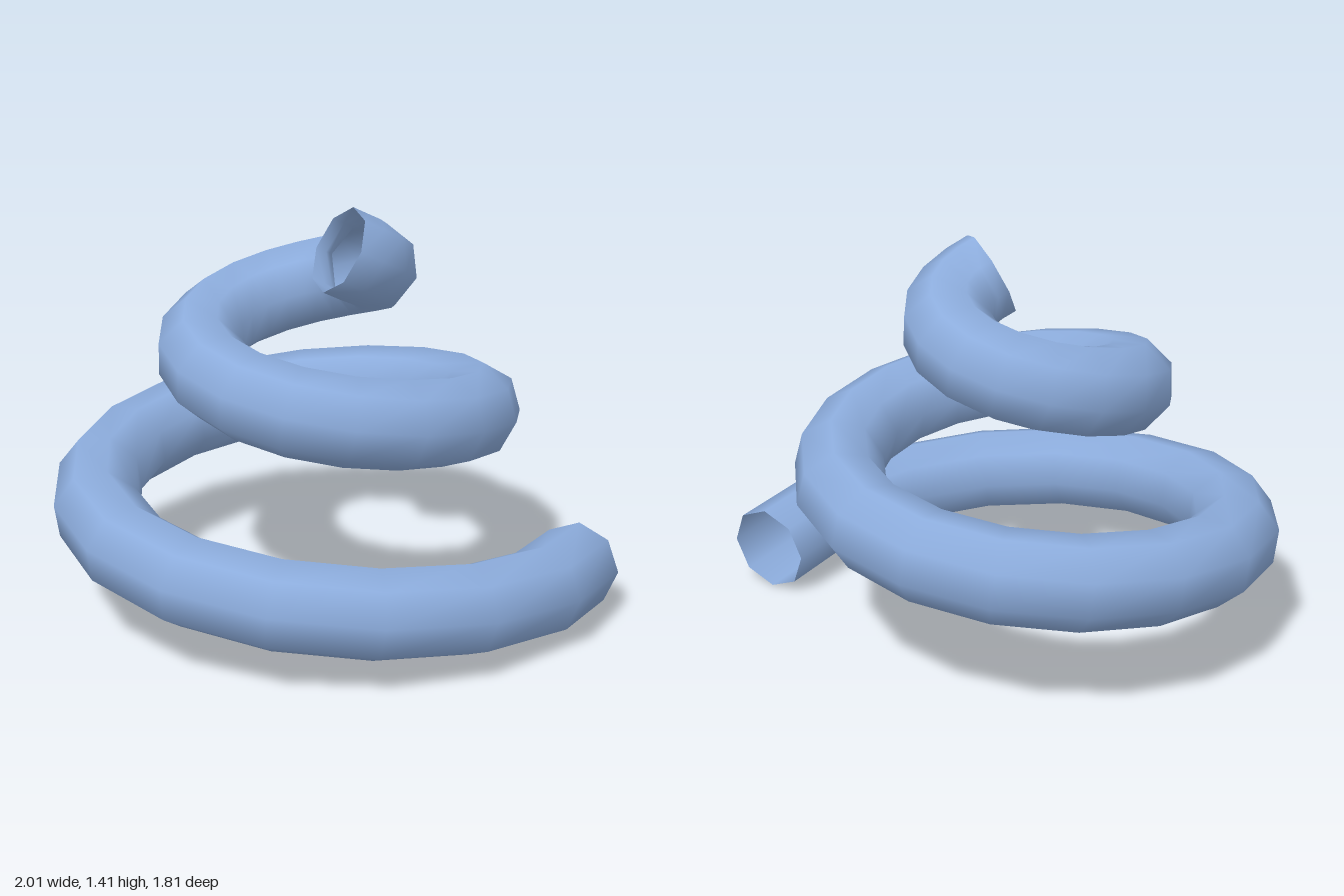
import * as THREE from 'three';

const STEPS = 36, SIDES = 8, TUBE = 0.155;
const TURNS = 2.115;

// Centreline: a rising spiral that tightens evenly with each turn
function spiralPoint(i) {
  const t = (TURNS * i) / STEPS;
  const angle = t * Math.PI * 2;
  const r = 0.95 - 0.38 * t;
  return new THREE.Vector3(-0.095 + r * Math.cos(angle), 0.155 + 0.527 * t, -0.1 + r * Math.sin(angle));
}

// Octagonal rings carried along the centreline without added twist
function spiralTube() {
  const path = Array.from({ length: STEPS + 1 }, (_, i) => spiralPoint(i));
  const chords = path.slice(1).map((p, i) => p.clone().sub(path[i]).normalize());
  const positions = [], index = [];
  const normal = new THREE.Vector3(0, 1, 0);
  const turn = new THREE.Quaternion();
  let last = null;

  path.forEach((centre, i) => {
    const before = chords[Math.max(i - 1, 0)];
    const after = chords[Math.min(i, STEPS - 1)];
    const tangent = before.clone().add(after).normalize();
    if (last) normal.applyQuaternion(turn.setFromUnitVectors(last, tangent));
    normal.addScaledVector(tangent, -normal.dot(tangent)).normalize();
    last = tangent;
    const side = tangent.clone().cross(normal);

    for (let j = 0; j < SIDES; j++) {
      const a = (j / SIDES) * Math.PI * 2;
      const p = centre.clone()
        .addScaledVector(normal, TUBE * Math.cos(a))
        .addScaledVector(side, TUBE * Math.sin(a));
      positions.push(p.x, p.y, p.z);
      if (i < STEPS) {
        const k = i * SIDES + j, n = i * SIDES + ((j + 1) % SIDES);
        index.push(k, n, k + SIDES, n, n + SIDES, k + SIDES);
      }
    }
  });

  const geometry = new THREE.BufferGeometry();
  geometry.setAttribute('position', new THREE.Float32BufferAttribute(positions, 3));
  geometry.setIndex(index);
  geometry.computeVertexNormals();
  return geometry;
}

export function createModel() {
  const group = new THREE.Group();
  group.name = 'spiral';

  // The tube is open at both ends, so its inside shows
  const blue = new THREE.MeshStandardMaterial({ color: 0x8cacdc, side: THREE.DoubleSide });
  blue.name = 'softBlue';

  const tube = new THREE.Mesh(spiralTube(), blue);
  tube.name = 'spiralTube';
  group.add(tube);
  return group;
}
